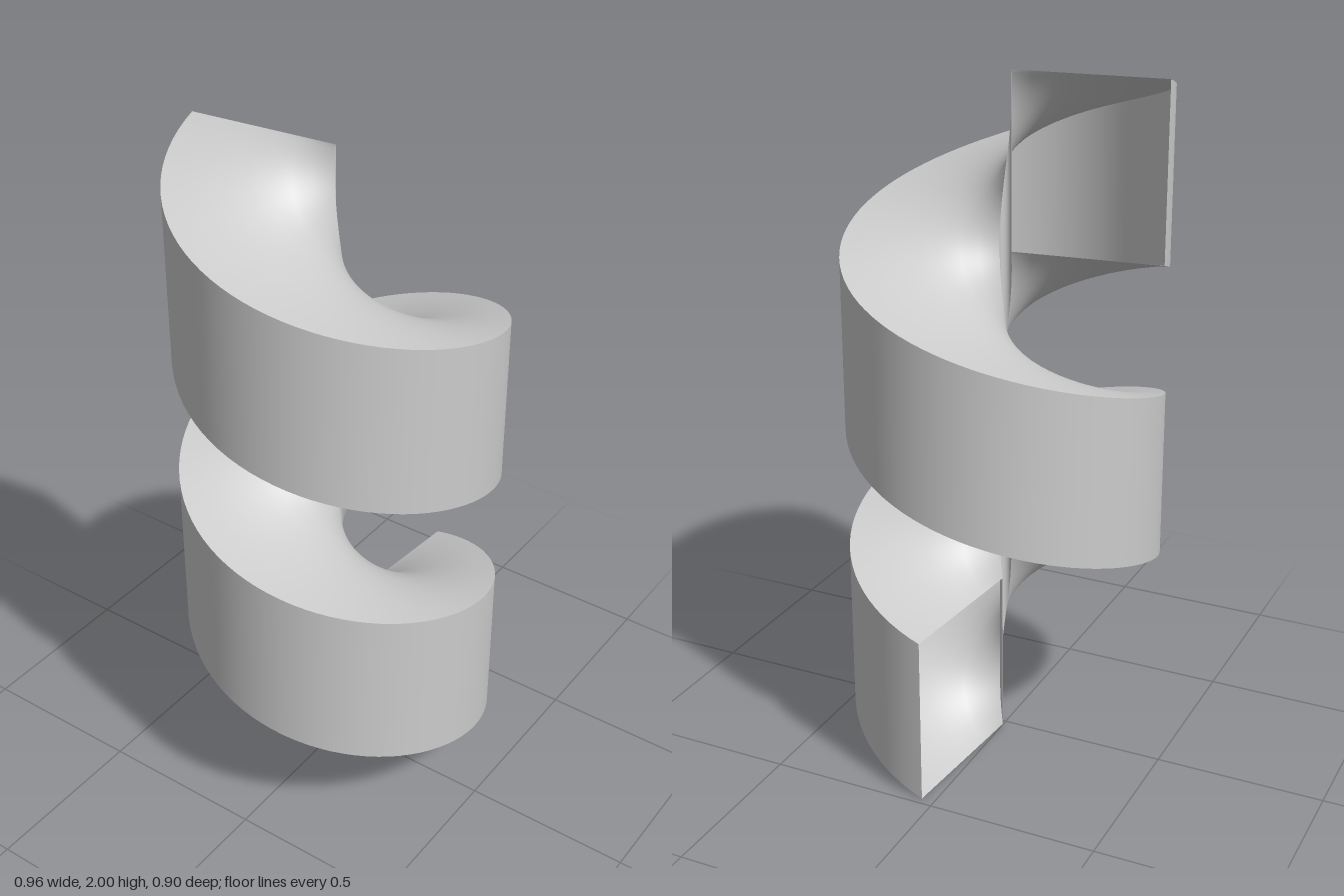
import * as THREE from 'three';

const RX = 0.48, RZ = 0.45;          // elliptical outline
const CORE = 0.037;                  // core size as a fraction of the outline
const BAND = 0.5, RISE = 1.5;        // band height, climb of the lower edge
const START = THREE.MathUtils.degToRad(5), END = THREE.MathUtils.degToRad(624);
const STEPS = 144;

// Point on the spiral: t along it, r from axis (0) to rim (1), h from lower (0) to upper edge (1)
function spiralPoint(t, r, h) {
  const a = START + (END - START) * t;
  return [RX * r * Math.cos(a), RISE * t + BAND * h, RZ * r * Math.sin(a)];
}

// Ruled surface swept along the spiral between two corners [r, h] of the cross-section
function sweep(name, from, to, across, material) {
  const positions = [], index = [];
  for (let i = 0; i <= STEPS; i++) {
    for (let j = 0; j <= across; j++) {
      const k = j / across;
      positions.push(...spiralPoint(i / STEPS,
        THREE.MathUtils.lerp(from[0], to[0], k),
        THREE.MathUtils.lerp(from[1], to[1], k)));
      if (i < STEPS && j < across) {
        const a = i * (across + 1) + j, b = a + across + 1;
        index.push(a, a + 1, b, b, a + 1, b + 1);
      }
    }
  }
  const geometry = new THREE.BufferGeometry();
  geometry.setAttribute('position', new THREE.Float32BufferAttribute(positions, 3));
  geometry.setIndex(index);
  geometry.computeVertexNormals();
  const mesh = new THREE.Mesh(geometry, material);
  mesh.name = name;
  return mesh;
}

export function createModel() {
  const group = new THREE.Group();
  group.name = 'spiralRamp';
  const material = new THREE.MeshStandardMaterial({ color: 0xcccccc, side: THREE.DoubleSide });

  // Hollow four-sided section, open at both ends, corners in order around it
  group.add(
    sweep('outerWall', [1, 0], [1, 1], 1, material),
    sweep('upperRamp', [1, 1], [CORE, 1], 8, material),
    sweep('innerWall', [CORE, 1], [CORE, 0], 1, material),
    sweep('lowerRamp', [CORE, 0], [1, 0], 8, material),
  );
  return group;
}
